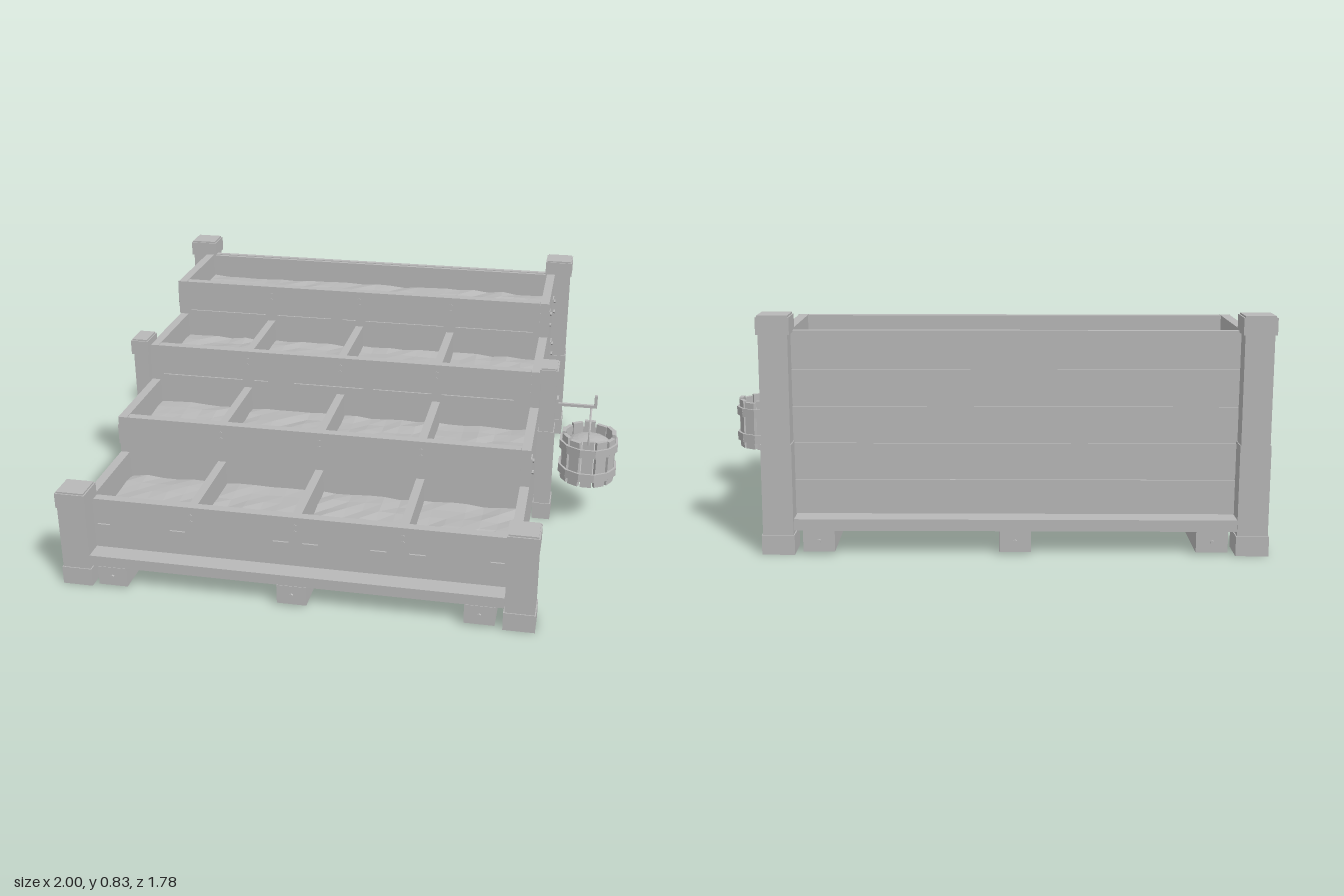
import * as THREE from 'three';

const grey = new THREE.MeshStandardMaterial({ color: 0xb8b8b8 });
grey.name = 'weathered grey';
grey.flatShading = true;

// Crate layout
const CX = -0.125, IN = 0.768, OUT = 0.805;
const FRONTS = [0.805, 0.41, 0.017, -0.375];
const TOPS = [0.325, 0.475, 0.627, 0.775];
const T = 0.035, GROOVE = 0.007, BACK = -0.775;

function add(parent, name, geo, x = 0, y = 0, z = 0) {
  const m = new THREE.Mesh(geo, grey);
  m.name = name;
  m.position.set(x, y, z);
  parent.add(m);
  return m;
}

// Box given by its limits on each axis
function box(parent, name, x0, x1, y0, y1, z0, z1) {
  return add(parent, name, new THREE.BoxGeometry(x1 - x0, y1 - y0, z1 - z0),
    (x0 + x1) / 2, (y0 + y1) / 2, (z0 + z1) / 2);
}

// Flat panel from an outline; slits [u0, u1, v] cut through it
function panelGeo(outline, depth, slits = []) {
  const s = new THREE.Shape(outline.map(([u, v]) => new THREE.Vector2(u, v)));
  for (const [a, b, v] of slits) {
    const h = new THREE.Path();
    h.moveTo(a, v - 0.005).lineTo(a, v + 0.005).lineTo(b, v + 0.005).lineTo(b, v - 0.005).closePath();
    s.holes.push(h);
  }
  return new THREE.ExtrudeGeometry(s, { depth, bevelEnabled: false });
}

// Wall facing local +z at z = 0: solid core with a grooved skin
function groovedWall(parent, name, outline, slits) {
  const g = new THREE.Group();
  g.name = name;
  add(g, name + 'Core', panelGeo(outline, T - GROOVE), 0, 0, -T);
  add(g, name + 'Skin', panelGeo(outline, GROOVE, slits), 0, 0, -GROOVE);
  parent.add(g);
  return g;
}

// Post with a wider foot, a seam and a cap
function post(parent, name, x, z, w, d, top) {
  const g = new THREE.Group();
  g.name = name;
  const part = (n, y0, y1, k) => box(g, n, x - w / 2 + k, x + w / 2 - k, y0, y1, z - d / 2 + k, z + d / 2 - k);
  part('postFoot', 0, 0.07, 0);
  part('postLower', 0.07, Math.min(0.39, top - 0.065), 0.004);
  if (top > 0.5) part('postUpper', 0.39, top - 0.065, 0.007);
  part('postCap', top - 0.065, top - 0.006, 0);
  part('postCapTop', top - 0.006, top, 0.005);
  parent.add(g);
}

// Small seeded random generator
let seed = 7;
const rand = () => (seed = (seed * 16807) % 2147483647) / 2147483647;

function soil(parent, z0, z1, y) {
  const g = new THREE.PlaneGeometry(IN * 2, z1 - z0, 24, 6).rotateX(-Math.PI / 2);
  const p = g.attributes.position;
  for (let i = 0; i < p.count; i++) p.setY(i, (rand() - 0.5) * 0.012);
  g.computeVertexNormals();
  add(parent, 'soil', g, CX, y, (z0 + z1) / 2);
}

function bolt(parent, x, y, z, axis) {
  const g = new THREE.CylinderGeometry(0.008, 0.008, 0.012, 6);
  if (axis === 'x') g.rotateZ(Math.PI / 2); else g.rotateX(Math.PI / 2);
  add(parent, 'bolt', g, x, y, z);
}

function makeBucket() {
  const b = new THREE.Group();
  b.name = 'bucket';
  const N = 12, R = 0.098;
  for (let i = 0; i < N; i++) {
    const a = (i / N) * Math.PI * 2;
    const drop = (i % 3) * 0.005;
    const s = add(b, 'stave', new THREE.BoxGeometry(0.044, 0.2 - drop, 0.016),
      Math.sin(a) * R, 0.286 - drop / 2, Math.cos(a) * R);
    s.rotation.y = a;
  }
  // Hoops built from one flat plate per stave
  for (const y of [0.23, 0.335]) for (let i = 0; i < N; i++) {
    const a = (i / N) * Math.PI * 2;
    const h = add(b, 'hoop', new THREE.BoxGeometry(0.062, 0.034, 0.009), Math.sin(a) * 0.11, y, Math.cos(a) * 0.11);
    h.rotation.y = a;
  }
  add(b, 'bucketBottom', new THREE.CylinderGeometry(0.092, 0.092, 0.012, N), 0, 0.21, 0);
  const fill = add(b, 'bucketFill', new THREE.SphereGeometry(0.09, 12, 6, 0, Math.PI * 2, 0, Math.PI / 2), 0, 0.33, 0);
  fill.scale.y = 0.35;
  // Arched handle
  const handle = add(b, 'handle', new THREE.TorusGeometry(0.108, 0.005, 6, 20, Math.PI), 0, 0.375, 0);
  handle.rotation.y = Math.PI / 2;
  b.position.x = 0.885;
  return b;
}

export function createModel() {
  const root = new THREE.Group();
  root.name = 'tieredPlanter';

  // Runners under the floor
  for (const x of [-0.805, -0.125, 0.555]) {
    box(root, 'runner', x - 0.055, x + 0.055, 0.01, 0.085, -0.88, 0.88);
    for (const s of [-1, 1]) bolt(root, x, 0.048, s * 0.882, 'z');
  }

  // Floor planks, the end ones fitting between the posts
  const cuts = [0.882, 0.765, 0.5, 0.245, -0.01, -0.265, -0.52, -0.77, -0.885];
  for (let i = 0; i < cuts.length - 1; i++) {
    const half = i === 0 || i === cuts.length - 2 ? 0.765 : OUT;
    box(root, 'floorPlank', CX - half, CX + half, 0.085, 0.126, cuts[i + 1] + 0.004, cuts[i] - 0.004);
  }
  box(root, 'floorLining', CX - IN, CX + IN, 0.1, 0.13, BACK, 0.77);

  // Posts
  for (const x of [-0.943, 0.695]) {
    post(root, 'frontPost', x, 0.828, 0.114, 0.112, 0.382);
    post(root, 'backPost', x, -0.832, 0.114, 0.112, 0.835);
  }
  for (const x of [-0.962, 0.714]) post(root, 'middlePost', x, 0, 0.072, 0.11, 0.66);

  // Stepped side walls, drawn with u running towards the front
  const outline = [[BACK, 0.126], [0.803, 0.126], [0.803, TOPS[0]], [FRONTS[1], TOPS[0]],
    [FRONTS[1], TOPS[1]], [FRONTS[2], TOPS[1]], [FRONTS[2], TOPS[2]],
    [FRONTS[3], TOPS[2]], [FRONTS[3], TOPS[3]], [BACK, TOPS[3]]];
  const sideSlits = [[0.45, 0.65, 0.225], [0.12, 0.4, 0.298], [-0.34, -0.06, 0.46], [-0.34, -0.2, 0.295],
    [-0.65, -0.39, 0.648], [-0.44, -0.41, 0.515], [-0.65, -0.6, 0.515], [-0.65, -0.41, 0.388], [-0.65, -0.41, 0.255]];
  const flip = (pts) => pts.map(([u, v]) => [-u, v]);
  const left = groovedWall(root, 'leftWall', flip(outline), sideSlits.map(([a, b, v]) => [-b, -a, v]));
  left.rotation.y = Math.PI / 2;
  left.position.x = CX + OUT;
  const right = groovedWall(root, 'rightWall', outline, sideSlits);
  right.rotation.y = -Math.PI / 2;
  right.position.x = CX - OUT;

  // Side bracket plates with bolts
  for (const s of [-1, 1]) {
    for (const [z, y] of [[0.71, 0.22], [0.385, 0.4], [-0.4, 0.7], [-0.71, 0.65], [-0.71, 0.45], [-0.71, 0.2]]) {
      const x = CX + s * (OUT + 0.002);
      box(root, 'bracket', x - 0.003, x + 0.003, y - 0.04, y + 0.04, z - 0.023, z + 0.023);
      for (const dy of [-0.024, 0.024]) bolt(root, x + s * 0.004, y + dy, z, 'x');
    }
    // Raised seam strip beside the tallest tier
    const x = CX + s * OUT;
    box(root, 'seamStrip', x - 0.003, x + 0.003, 0.13, 0.775, -0.381, -0.375);
  }

  // Tier front walls with plank grooves
  const slits = [
    [[-0.88, -0.83], [-0.6, -0.54], [-0.21, -0.15], [-0.1, -0.04], [0.15, 0.21], [0.29, 0.35], [0.58, 0.63]],
    [],
    [[-0.88, -0.54], [-0.49, -0.43], [-0.32, -0.03], [0.01, 0.25], [0.29, 0.58]],
    [[-0.88, -0.54], [-0.49, -0.25], [-0.2, -0.14], [-0.1, 0.24], [0.29, 0.62]]];
  const slitY = [0.225, 0, 0.505, 0.65];
  const dividers = [-0.515, -0.125, 0.268];
  const DEPTH = 0.1;
  FRONTS.forEach((z, i) => {
    const low = i ? TOPS[i - 1] - DEPTH - 0.05 : 0.126, a = CX - IN, b = CX + IN;
    const wall = groovedWall(root, 'tierFront', [[a, low], [b, low], [b, TOPS[i]], [a, TOPS[i]]],
      slits[i].map(([u, v]) => [u, v, slitY[i]]));
    wall.position.z = z;
    const zBack = i < 3 ? FRONTS[i + 1] : BACK;
    soil(root, zBack, z - T, TOPS[i] - DEPTH);
    for (const x of dividers) {
      if (i < 3) box(root, 'divider', x - 0.016, x + 0.016, TOPS[i] - DEPTH - 0.04, TOPS[i] - 0.006, zBack, z - T);
      for (const dy of [0.035, 0.06]) bolt(root, x, TOPS[i] - dy, z - 0.003, 'z');
    }
  });

  // Back wall planks over a thin lining
  box(root, 'backLining', CX - OUT, CX + OUT, 0.126, 0.772, -0.805, BACK);
  for (let i = 0; i < 5; i++) {
    const y = 0.128 + i * 0.13;
    box(root, 'backPlank', CX - OUT, CX + OUT, y, y + 0.122 + (i === 4 ? 0.005 : 0), -0.812, -0.79);
  }

  // Hook arm and hanging bucket
  box(root, 'hookPlate', 0.748, 0.756, 0.46, 0.52, -0.02, 0.02);
  box(root, 'hookArm', 0.75, 0.907, 0.487, 0.498, -0.006, 0.006);
  box(root, 'hookTip', 0.895, 0.907, 0.487, 0.54, -0.006, 0.006);
  root.add(makeBucket());
  return root;
}
